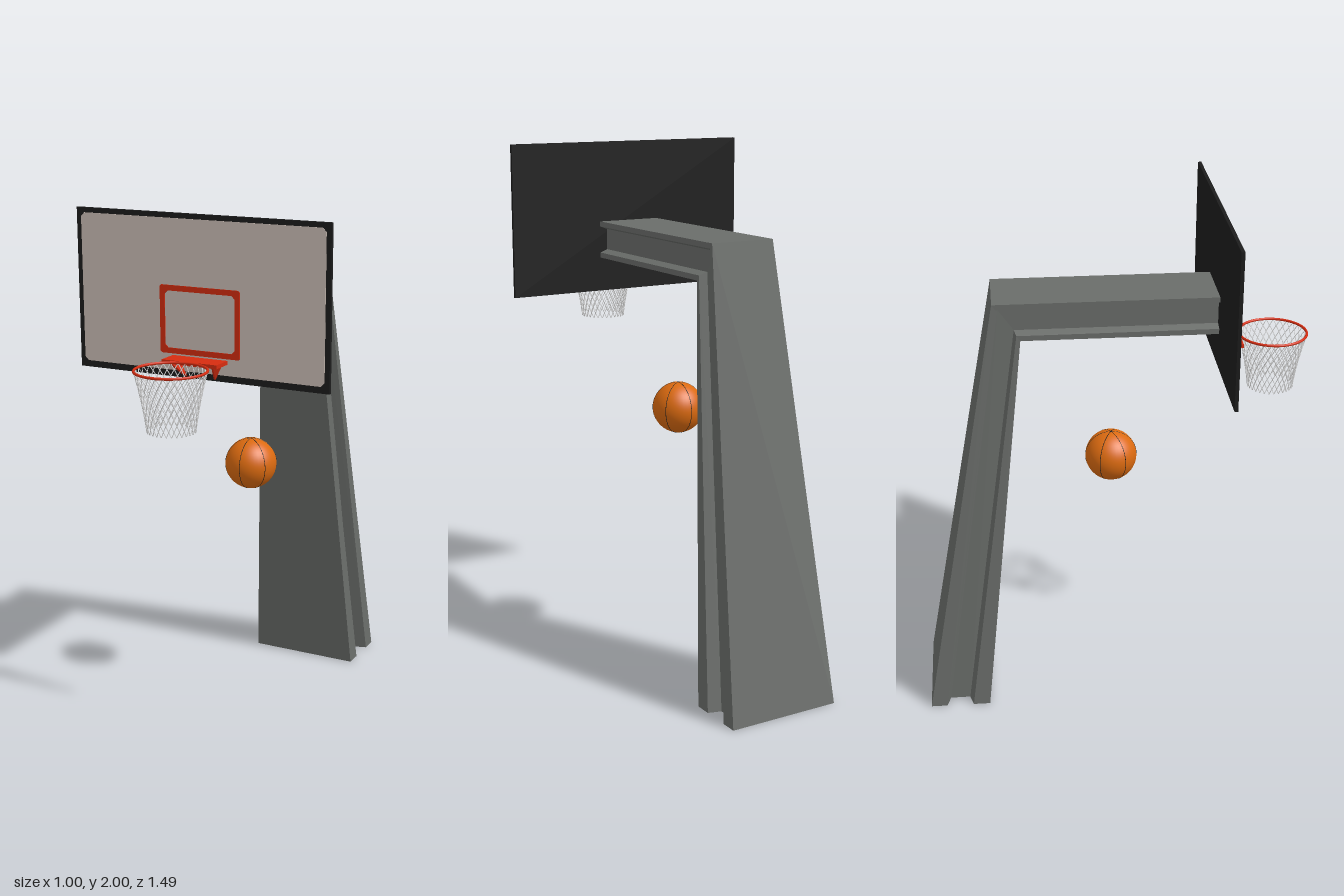
import * as THREE from 'three';

const mat = (name, color) => {
  const m = new THREE.MeshStandardMaterial({ color });
  m.name = name;
  return m;
};

// Rectangle with clipped corners, as a shape or a hole
function clippedRect(Type, w, y0, y1, c) {
  const p = new Type();
  const pts = [[-w + c, y0], [w - c, y0], [w, y0 + c], [w, y1 - c],
    [w - c, y1], [-w + c, y1], [-w, y1 - c], [-w, y0 + c]];
  p.setFromPoints(pts.map(([x, y]) => new THREE.Vector2(x, y)));
  return p;
}

// Grooved beam section: t runs from the outer (0) to the inner (1) face
function beamSection(h, f0, f1, depth, bevel) {
  const side = [[h, 0], [h, f0], [h - depth, f0 + bevel],
    [h - depth, f1 - bevel], [h, f1], [h, 1]];
  return [...side, ...side.map(([x, t]) => [-x, t]).reverse()];
}

// Tapered post and arm, lofted through three sections: foot, elbow, arm end
function supportGeometry() {
  const rings = [
    { out: [0, -0.745], inn: [0, -0.51], sec: beamSection(0.222, 0.27, 0.72, 0.05, 0.06) },
    { out: [1.69, -0.44], inn: [1.547, -0.34], sec: beamSection(0.128, 0.14, 0.86, 0.03, 0.08) },
    { out: [1.69, 0.387], inn: [1.547, 0.387], sec: beamSection(0.128, 0.14, 0.86, 0.03, 0.08) },
  ];
  const pos = [], index = [], n = rings[0].sec.length;
  for (const { out, inn, sec } of rings) {
    for (const [x, t] of sec) {
      pos.push(x, out[0] + (inn[0] - out[0]) * t, out[1] + (inn[1] - out[1]) * t);
    }
  }
  for (let r = 0; r < rings.length - 1; r++) {
    for (let j = 0; j < n; j++) {
      const k = (j + 1) % n;
      const a = r * n + j, b = r * n + k, c = b + n, d = a + n;
      index.push(a, d, c, a, c, b);
    }
  }
  const foot = rings[0].sec.map(([x, t]) => new THREE.Vector2(x, t));
  const end = (rings.length - 1) * n;
  for (const [a, b, c] of THREE.ShapeUtils.triangulateShape(foot, [])) {
    index.push(a, b, c, end + a, end + c, end + b);
  }
  const g = new THREE.BufferGeometry();
  g.setAttribute('position', new THREE.Float32BufferAttribute(pos, 3));
  g.setIndex(index);
  const flat = g.toNonIndexed();
  flat.computeVertexNormals();
  return flat;
}

export function createModel() {
  const model = new THREE.Group();
  model.name = 'basketballHoop';
  const steel = mat('steelGrey', 0x6a6d6a);
  const black = mat('black', 0x1c1c1c);
  const board = mat('boardBeige', 0xcdbfb7);
  const red = mat('red', 0xd62c10);
  const white = mat('netWhite', 0xdedede);
  const orange = mat('ballOrange', 0xdb6a10);

  const add = (name, geo, material, x = 0, y = 0, z = 0, parent = model) => {
    const mesh = new THREE.Mesh(geo, material);
    mesh.name = name;
    mesh.position.set(x, y, z);
    parent.add(mesh);
    return mesh;
  };
  const extrude = (shape, depth) =>
    new THREE.ExtrudeGeometry(shape, { depth, bevelEnabled: false });

  add('support', supportGeometry(), steel);

  // Backboard: dark slab, pale face and red target frame
  add('backboard', new THREE.BoxGeometry(1.005, 0.585, 0.013), black, 0, 1.7075, 0.3915);
  add('boardFace', extrude(clippedRect(THREE.Shape, 0.484, 1.439, 1.982, 0.014), 0.003),
    board, 0, 0, 0.397);
  const target = clippedRect(THREE.Shape, 0.16, 1.5, 1.746, 0.006);
  target.holes.push(clippedRect(THREE.Path, 0.14, 1.52, 1.726, 0.012));
  add('targetFrame', extrude(target, 0.003), red, 0, 0, 0.3995);

  // Rim bracket: top plate with two gussets leaning inward
  const bracket = new THREE.Group();
  bracket.name = 'rimBracket';
  model.add(bracket);
  add('bracketPlate', new THREE.BoxGeometry(0.22, 0.014, 0.084), red, 0, 1.487, 0.44, bracket);
  const tri = new THREE.Shape([[0, 0], [0.08, 0], [0, -0.075]]
    .map(([x, y]) => new THREE.Vector2(x, y)));
  for (const s of [-1, 1]) {
    const g = extrude(tri, 0.008);
    g.translate(0, 0, -0.004);
    g.rotateY(-Math.PI / 2);
    g.rotateZ(-s * 0.45);
    add('gusset', g, red, s * 0.09, 1.488, 0.399, bracket);
  }

  // Rim
  const rimZ = 0.61;
  const rim = add('rim', new THREE.TorusGeometry(0.128, 0.005, 8, 48), red, 0, 1.49, rimZ);
  rim.rotation.x = Math.PI / 2;

  // Net: two families of strands spiralling down in opposite directions
  const net = new THREE.Group();
  net.name = 'net';
  net.position.z = rimZ;
  model.add(net);
  const strands = 30;
  for (const dir of [-1, 1]) {
    const pts = [];
    for (let i = 0; i <= 8; i++) {
      const t = i / 8, a = dir * t * Math.PI / 3;
      const r = 0.128 - 0.06 * t + 0.018 * t * t;
      pts.push(new THREE.Vector3(r * Math.cos(a), 1.488 - 0.215 * t, r * Math.sin(a)));
    }
    const strand = new THREE.TubeGeometry(new THREE.CatmullRomCurve3(pts), 14, 0.0016, 4);
    for (let k = 0; k < strands; k++) {
      add('netStrand', strand, white, 0, 0, 0, net).rotation.y = k * 2 * Math.PI / strands;
    }
  }

  // Ball with three seams through its poles
  const ball = new THREE.Group();
  ball.name = 'ball';
  ball.position.y = 1;
  model.add(ball);
  add('ballSkin', new THREE.SphereGeometry(0.099, 40, 28), orange, 0, 0, 0, ball);
  const seam = new THREE.TorusGeometry(0.0985, 0.0013, 6, 64);
  for (let k = 0; k < 3; k++) {
    add('ballSeam', seam, black, 0, 0, 0, ball).rotation.y = Math.PI / 6 + k * Math.PI / 3;
  }
  return model;
}
